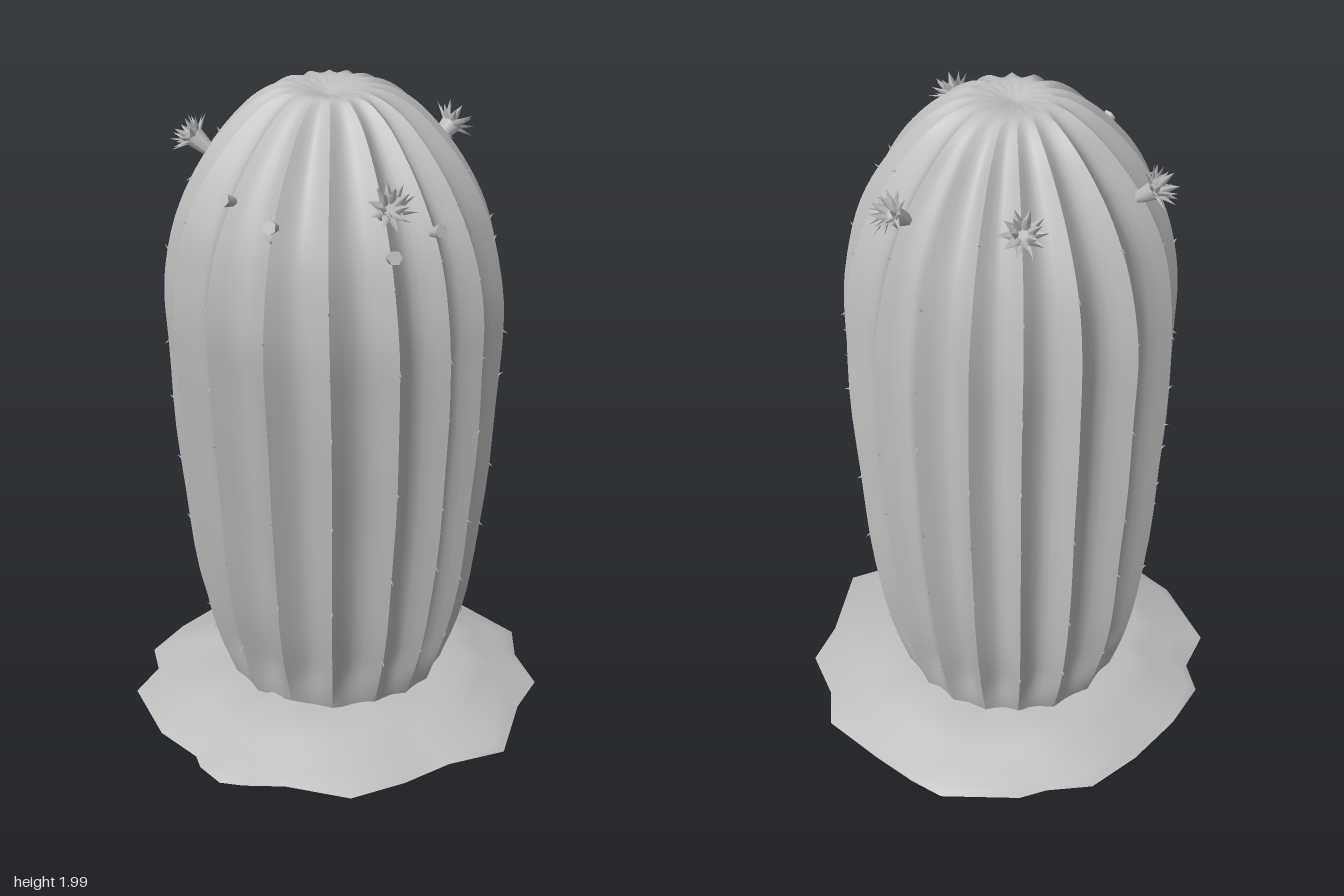
import * as THREE from 'three';
import { toCreasedNormals } from 'three/addons/utils/BufferGeometryUtils.js';

const PER_RIB = 6;
const UP = new THREE.Vector3(0, 1, 0);
const smooth = THREE.MathUtils.smoothstep;

// direction of each rib crest in degrees, from the front towards the left
const CRESTS = [-53, -30, -7, 15, 38, 58, 76, 99, 118, 142, 161, 180, 198, 218, 241, 266, 288];

// crest radius, height and centre z up the body
const PROFILE = [
  [0.3, 0.03, -0.015], [0.325, 0.1, -0.015], [0.37, 0.23, -0.01], [0.41, 0.4, 0],
  [0.457, 0.8, 0.03], [0.482, 1.2, 0.067], [0.482, 1.4, 0.085], [0.445, 1.6, 0.097],
  [0.378, 1.75, 0.1], [0.3, 1.86, 0.1], [0.22, 1.94, 0.1], [0.14, 1.984, 0.11],
  [0.08, 1.985, 0.12], [0, 1.967, 0.13],
];
const ROWS = new THREE.CatmullRomCurve3(PROFILE.map((p) => new THREE.Vector3(...p))).getPoints(52);

// outline of the soil, x and z, running anticlockwise seen from above
const SOIL = [
  [-0.17, 0.64], [-0.1, 0.635], [0.02, 0.605], [0.22, 0.61], [0.35, 0.49], [0.45, 0.36],
  [0.59, 0.25], [0.575, 0], [0.595, -0.15], [0.5, -0.29], [0.46, -0.42], [0.28, -0.53],
  [0.15, -0.6], [0.05, -0.64], [-0.18, -0.59], [-0.25, -0.54], [-0.38, -0.49], [-0.48, -0.34],
  [-0.56, -0.16], [-0.6, 0], [-0.55, 0.1], [-0.57, 0.24], [-0.42, 0.44], [-0.28, 0.53], [-0.25, 0.58],
];

function seeded(seed) {
  return () => (seed = (seed * 16807) % 2147483647) / 2147483647;
}

// skin closed rings of points, listed from bottom to top
function loft(rings, crease) {
  const n = rings[0].length, index = [];
  for (let j = 0; j < rings.length - 1; j++) {
    for (let i = 0; i < n; i++) {
      const k = (i + 1) % n, a = j * n + i, b = j * n + k;
      index.push(a, b, b + n, a, b + n, a + n);
    }
  }
  const geometry = new THREE.BufferGeometry().setFromPoints(rings.flat());
  geometry.setIndex(index);
  return toCreasedNormals(geometry, crease);
}

const centreX = (y) => -0.01 + 0.025 * smooth(y, 0, 1.4);
const rowAt = (y) => ROWS.find((row) => row.y >= y);

// t runs from 0 on this crest to 1 on the next one
function ribPoint(row, rib, t = 0) {
  const start = CRESTS[rib], end = CRESTS[rib + 1] ?? CRESTS[0] + 360;
  const angle = THREE.MathUtils.degToRad(start + (end - start) * t);
  const { x: radius, y, z } = row;
  // valleys flare out at the foot and cut deeper at the crown
  const depth = 0.04 + 0.075 * smooth(y, 0.08, 0.24) + 0.04 * smooth(y, 1.6, 1.95);
  const valley = Math.sin(Math.min(t, 1 - t) * Math.PI);
  const wobble = 1 + 0.008 * Math.sin(angle * 5 + y * 9) * Math.sin(y * 4 + angle * 2);
  const r = radius * wobble * (1 - depth * valley);
  return new THREE.Vector3(centreX(y) + Math.sin(angle) * r, y, z + Math.cos(angle) * r);
}

function createBody(material) {
  const rings = ROWS.map((row) => CRESTS.flatMap((_, rib) =>
    Array.from({ length: PER_RIB }, (_, i) => ribPoint(row, rib, i / PER_RIB))));
  const body = new THREE.Mesh(loft(rings, 0.7), material);
  body.name = 'ribbedBody';
  return body;
}

function createSoil(material) {
  const levels = [[0, 0], [1, 0], [0.95, 0.016], [0.86, 0.037], [0.76, 0.062], [0.66, 0.087], [0.45, 0.093]];
  const rings = levels.map(([s, y], j) => SOIL.map(([x, z], i) => {
    const bump = j > 1 ? 0.008 * Math.sin(i * 1.9 + j) : 0;
    return new THREE.Vector3(x * s, y + bump, z * s);
  }));
  const soil = new THREE.Mesh(loft(rings, 0.7), material);
  soil.name = 'soilMound';
  return soil;
}

// stand a part on a crest, leaning outwards from the body's axis
function plant(part, rib, y, lift) {
  const row = rowAt(y);
  part.position.copy(ribPoint(row, rib));
  const out = new THREE.Vector3(part.position.x - centreX(row.y), 0, part.position.z - row.z).normalize();
  out.y = lift;
  part.quaternion.setFromUnitVectors(UP, out.normalize());
  return part;
}

function createFlower(material) {
  const flower = new THREE.Group();
  flower.name = 'flower';
  const stem = new THREE.Mesh(new THREE.CylinderGeometry(0.032, 0.018, 0.07, 7), material);
  stem.position.y = 0.02;
  stem.name = 'flowerTube';
  flower.add(stem);
  // two whorls of pointed petals
  const petal = new THREE.ConeGeometry(0.019, 0.06, 4).translate(0, 0.03, 0).scale(1, 1, 0.35);
  for (const [count, tilt, y] of [[10, 1.1, 0.048], [7, 0.5, 0.05]]) {
    for (let i = 0; i < count; i++) {
      const angle = (i / count) * Math.PI * 2;
      const mesh = new THREE.Mesh(petal, material);
      mesh.rotation.set(tilt + 0.15 * Math.sin(i * 2.4), angle, 0, 'YXZ');
      mesh.position.set(Math.sin(angle) * 0.016, y, Math.cos(angle) * 0.016);
      mesh.name = 'petal';
      flower.add(mesh);
    }
  }
  return flower;
}

export function createModel() {
  const grey = new THREE.MeshStandardMaterial({ color: 0xbfbfbf });
  grey.name = 'plain grey';

  const model = new THREE.Group();
  model.name = 'barrelCactus';
  model.add(createBody(grey), createSoil(grey));

  // flowers near the crown, as rib and height
  for (const [rib, y] of [[15, 1.74], [12, 1.77], [9, 1.75], [4, 1.73]]) {
    model.add(plant(createFlower(grey), rib, y, 0.75));
  }

  // small buds at the front
  const budShape = new THREE.CylinderGeometry(0.021, 0.014, 0.04, 6).translate(0, 0.01, 0);
  for (const [rib, y] of [[4, 1.64], [5, 1.65], [1, 1.72], [2, 1.71]]) {
    const bud = new THREE.Mesh(budShape, grey);
    bud.name = 'bud';
    model.add(plant(bud, rib, y, 0.4));
  }

  // short spines along every crest
  const random = seeded(17);
  const spineShape = new THREE.ConeGeometry(0.004, 0.018, 4).translate(0, 0.005, 0);
  for (let rib = 0; rib < CRESTS.length; rib++) {
    for (let y = 0.25; y < 1.8; y += 0.2 + random() * 0.12) {
      const spine = new THREE.Mesh(spineShape, grey);
      spine.name = 'spine';
      model.add(plant(spine, rib, y, random() * 3 - 1));
    }
  }
  return model;
}
